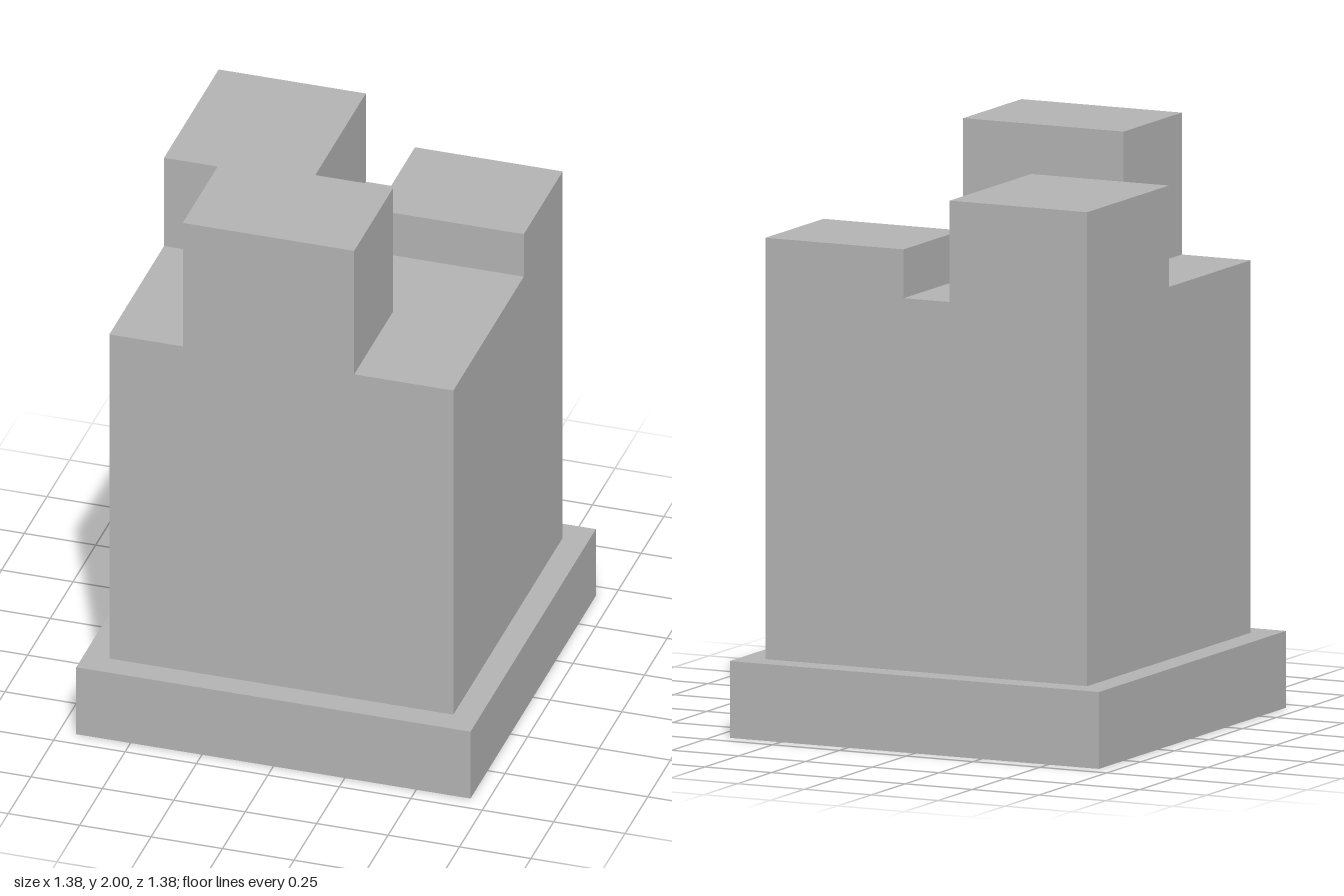
import * as THREE from 'three';

export function createModel() {
  const model = new THREE.Group();
  model.name = 'tower';

  const stone = new THREE.MeshStandardMaterial({ color: 0xb2b2b2 });
  stone.name = 'grey stone';

  // Adds a block spanning the given ranges on each axis
  function block(name, [x0, x1], [y0, y1], [z0, z1]) {
    const mesh = new THREE.Mesh(new THREE.BoxGeometry(x1 - x0, y1 - y0, z1 - z0), stone);
    mesh.name = name;
    mesh.position.set((x0 + x1) / 2, (y0 + y1) / 2, (z0 + z1) / 2);
    model.add(mesh);
  }

  const half = 0.602;
  const baseTop = 0.26;
  const roof = 1.52;

  // Plinth and main body
  block('base', [-0.69, 0.69], [0, baseTop], [-0.69, 0.69]);
  block('body', [-half, half], [baseTop, roof], [-half, half]);

  // Battlements of different heights, flush with the walls
  block('frontBattlement', [-0.345, 0.255], [roof, 2], [0.172, half]);
  block('backRightBattlement', [-half, -0.087], [roof, 1.863], [-half, 0]);
  block('backLeftBattlement', [0.085, half], [roof, 1.685], [-half, -0.174]);

  return model;
}
